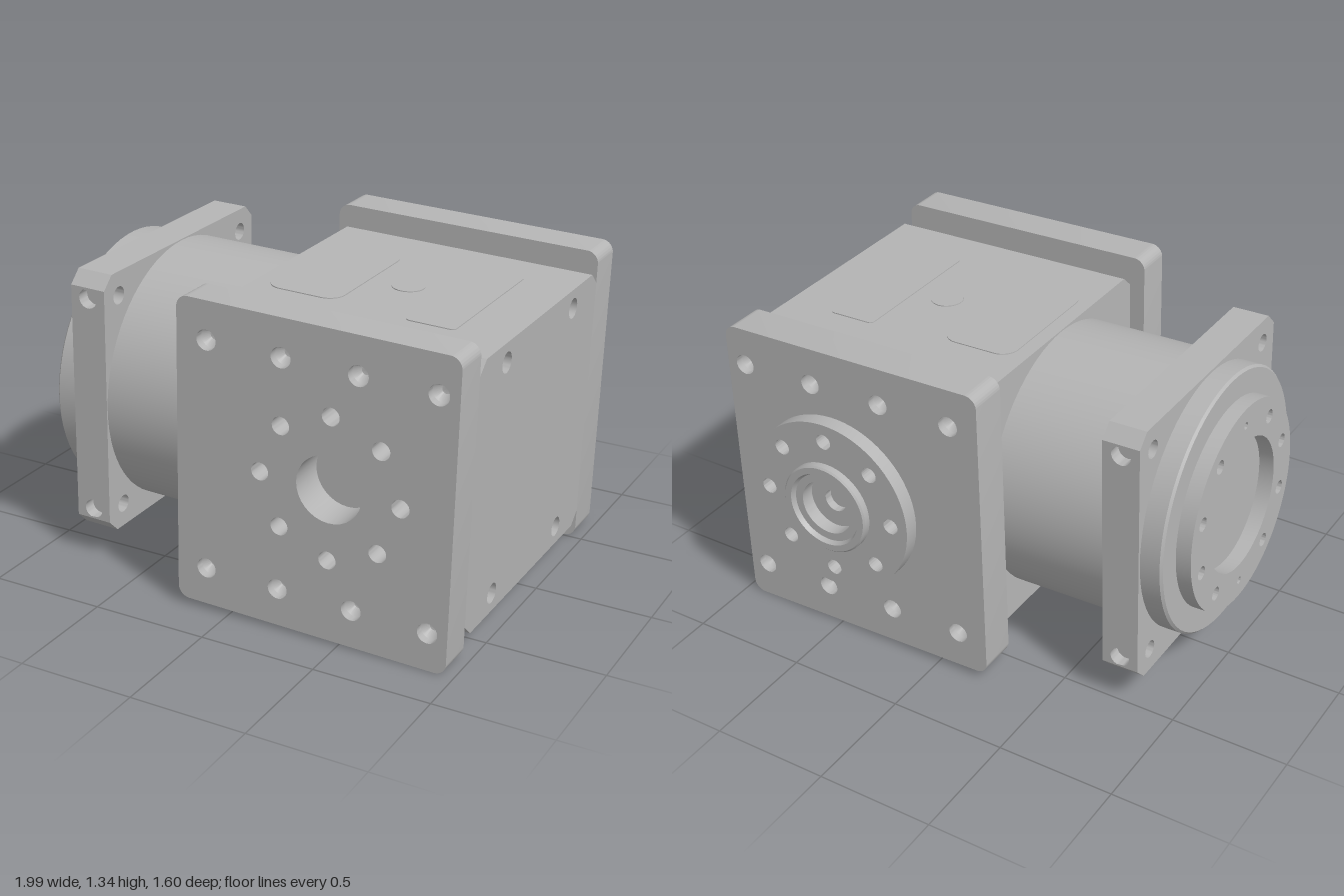
import * as THREE from 'three';
import { toCreasedNormals } from 'three/addons/utils/BufferGeometryUtils.js';

const grey = new THREE.MeshStandardMaterial({ color: 0xb4b4b4 });
grey.name = 'machined grey';

function add(parent, name, geo) {
  const mesh = new THREE.Mesh(toCreasedNormals(geo, 0.55), grey);
  mesh.name = name;
  parent.add(mesh);
  return mesh;
}

function poly(points) {
  return new THREE.Shape(points.map(([x, y]) => new THREE.Vector2(x, y)));
}

function roundRect(x0, x1, y0, y1, r) {
  const s = new THREE.Shape();
  s.absarc(x1 - r, y1 - r, r, 0, Math.PI / 2);
  s.absarc(x0 + r, y1 - r, r, Math.PI / 2, Math.PI);
  s.absarc(x0 + r, y0 + r, r, Math.PI, Math.PI * 1.5);
  s.absarc(x1 - r, y0 + r, r, Math.PI * 1.5, Math.PI * 2);
  s.closePath();
  return s;
}

function disc(r) {
  const s = new THREE.Shape();
  s.absarc(0, 0, r, 0, Math.PI * 2);
  return s;
}

function drill(shape, centres, r) {
  for (const [x, y] of centres) {
    const h = new THREE.Path();
    h.absarc(x, y, r, 0, Math.PI * 2, true);
    shape.holes.push(h);
  }
  return shape;
}

const extrude = (shape, depth, curveSegments = 16) =>
  new THREE.ExtrudeGeometry(shape, { depth, bevelEnabled: false, curveSegments });
const alongZ = (shape, z0, z1, seg) => extrude(shape, z1 - z0, seg).translate(0, 0, z0);
const alongX = (shape, x0, x1, seg) => extrude(shape, x1 - x0, seg).rotateY(Math.PI / 2).translate(x0, 0, 0);
const lathe = (pts, seg = 72) => new THREE.LatheGeometry(pts.map(([r, h]) => new THREE.Vector2(r, h)), seg);
const latheLeft = (pts) => lathe(pts).rotateZ(Math.PI / 2);   // height runs to -x
const latheBack = (pts) => lathe(pts).rotateX(-Math.PI / 2);  // height runs to -z

const bolts = (n, r, start = 0) => Array.from({ length: n }, (_, i) => {
  const a = start + i * Math.PI * 2 / n;
  return [r * Math.cos(a), r * Math.sin(a)];
});

// Drill-point floor of a blind screw hole, opening towards dir
function drillTip(parent, r, pos, dir) {
  const geo = lathe([[r, -0.035], [r * 0.45, -0.065], [0, -0.07]], 24);
  const tip = add(parent, 'screwHoleFloor', geo);
  tip.quaternion.setFromUnitVectors(new THREE.Vector3(0, 1, 0), new THREE.Vector3(...dir));
  tip.position.set(...pos);
}

export function createModel() {
  const model = new THREE.Group();
  model.name = 'rightAngleGearbox';
  const g = new THREE.Group();
  g.name = 'gearboxAssembly';
  g.position.set(0.46, 0.675, 0.065);
  g.rotation.z = -0.026;
  model.add(g);

  // Housing block with chamfered long edges; its right end carries screw holes
  const section = () => poly([
    [-0.575, -0.525], [-0.52, -0.576], [0.52, -0.576], [0.575, -0.525],
    [0.575, 0.525], [0.52, 0.576], [-0.52, 0.576], [-0.575, 0.525]]);
  const sideHoles = [];
  for (const z of [-0.328, 0.328]) for (const y of [-0.493, 0.493]) sideHoles.push([z, y]);
  add(g, 'housing', alongX(section(), -0.61, 0.42));
  add(g, 'housingRightEnd', alongX(drill(section(), sideHoles, 0.043), 0.42, 0.522));
  for (const [z, y] of sideHoles) drillTip(g, 0.043, [0.522, y, z], [1, 0, 0]);

  // Front and back mounting plates
  const plateHoles = [];
  for (const x of [-0.545, -0.218, 0.11, 0.437]) for (const y of [-0.493, 0.493]) plateHoles.push([x, y]);
  const plate = () => drill(roundRect(-0.678, 0.522, -0.655, 0.655, 0.05), plateHoles, 0.043);
  const front = drill(drill(plate(), [[0, 0]], 0.142), bolts(8, 0.303), 0.038);
  add(g, 'frontPlate', alongZ(front, 0.575, 0.735));
  add(g, 'backPlate', alongZ(plate(), -0.745, -0.575));
  for (const [x, y] of plateHoles) {
    drillTip(g, 0.043, [x, y, 0.735], [0, 0, 1]);
    drillTip(g, 0.043, [x, y, -0.745], [0, 0, -1]);
  }

  // Output flange on the back: neck, drilled disc and stepped hub
  const outDisc = drill(drill(disc(0.382), [[0, 0]], 0.125), bolts(8, 0.303), 0.034);
  add(g, 'outputFlange', alongZ(outDisc, -0.83, -0.765, 36));
  add(g, 'outputHub', latheBack([
    [0.128, 0.74], [0.128, 0.80], [0.2, 0.82], [0.2, 0.858], [0.193, 0.865], [0.165, 0.865],
    [0.155, 0.845], [0.12, 0.845], [0.12, 0.785], [0.05, 0.785], [0.05, 0.75], [0, 0.75]]));

  // Input barrel on the left
  add(g, 'inputBarrel', latheLeft([[0.57, 0.6], [0.57, 1.13]]));

  // Square input flange: core with corner holes, chamfered cheeks with screw holes
  const corners = [];
  for (const a of [-0.472, 0.472]) for (const b of [-0.472, 0.472]) corners.push([a, b]);
  const core = poly([[-0.52, -0.575], [0.52, -0.575], [0.52, 0.575], [-0.52, 0.575]]);
  add(g, 'inputFlange', alongX(drill(core, corners, 0.038), -1.285, -1.125));
  for (const side of [1, -1]) {
    const cheek = poly([[-0.08, -0.575], [0.08, -0.575], [0.08, 0.575], [-0.08, 0.575]]);
    const geo = alongZ(drill(cheek, [[0, 0.474], [0, -0.474]], 0.042), 0.52, 0.575);
    const p = geo.attributes.position;
    for (let i = 0; i < p.count; i++) {
      if (p.getZ(i) > 0.55 && Math.abs(p.getY(i)) > 0.55) p.setY(i, Math.sign(p.getY(i)) * 0.52);
    }
    if (side < 0) geo.rotateY(Math.PI);
    add(g, 'inputFlangeCheek', geo).position.x = -1.205;
  }

  // Round pilot step and drilled input ring around a shallow pocket
  add(g, 'pilotStep', latheLeft([
    [0.565, 1.28], [0.565, 1.37], [0.555, 1.38], [0, 1.38]]));
  const ring = drill(disc(0.45), [[0, 0]], 0.29);
  bolts(10, 0.372, Math.PI / 2).forEach((c, i) => drill(ring, [c], i % 5 ? 0.03 : 0.016));
  add(g, 'inputRing', alongX(ring, -1.445, -1.38, 36));

  // Thin cover, plug and label on the top face
  const topPlate = (name, shape) =>
    add(g, name, extrude(shape, 0.004).rotateX(-Math.PI / 2).translate(0, 0.576, 0));
  topPlate('topCover', roundRect(-0.545, -0.22, -0.3, 0.3, 0.07));
  const plug = topPlate('topPlug', disc(0.068));
  plug.position.x = -0.055;
  topPlate('topLabel', roundRect(0.095, 0.305, -0.335, 0.335, 0.02));

  return model;
}
